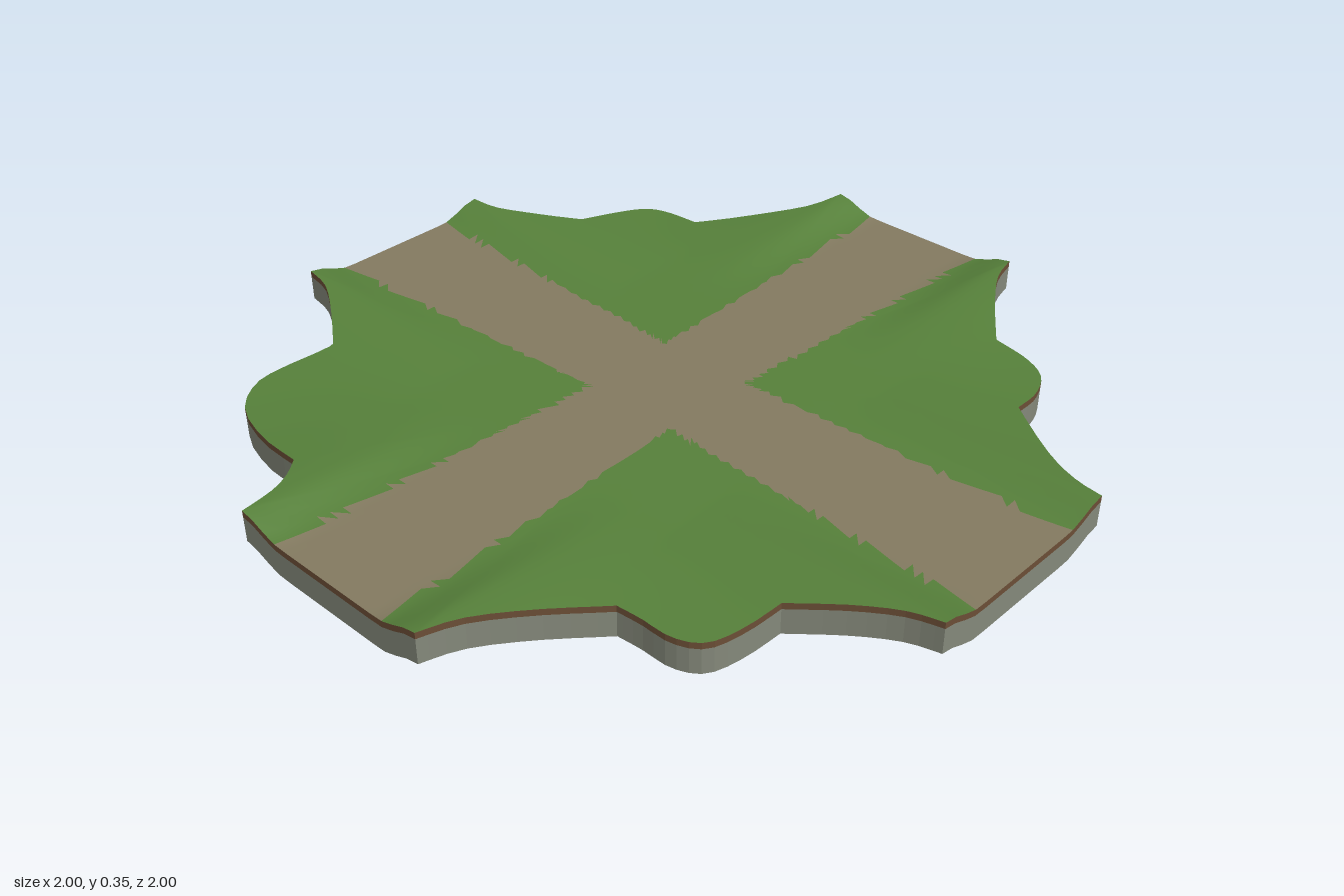
import * as THREE from 'three';

// Seeded noise in the range -1..1
function makeNoise(seed) {
  return () => {
    seed = (seed * 16807) % 2147483647;
    return (seed / 2147483647) * 2 - 1;
  };
}

// Each corner runs clockwise (seen from above) as three curves: flare, lobe, flare
const CORNERS = [
  [
    [[0.28, -1], [0.3, -0.92], [0.36, -0.82], [0.455, -0.69]],
    [[0.455, -0.69], [0.55, -0.675], [0.62, -0.635], [0.655, -0.56], [0.66, -0.48]],
    [[0.66, -0.48], [0.82, -0.355], [0.92, -0.3], [1, -0.28]],
  ],
  [
    [[1, 0.28], [0.92, 0.3], [0.82, 0.355], [0.715, 0.43]],
    [[0.715, 0.43], [0.705, 0.53], [0.68, 0.61], [0.62, 0.645], [0.54, 0.648], [0.48, 0.655]],
    [[0.48, 0.655], [0.39, 0.77], [0.31, 0.9], [0.28, 1]],
  ],
  [
    [[-0.28, 1], [-0.3, 0.91], [-0.33, 0.85], [-0.37, 0.803]],
    [[-0.37, 0.803], [-0.5, 0.79], [-0.63, 0.75], [-0.7, 0.68], [-0.72, 0.6], [-0.705, 0.46], [-0.71, 0.435]],
    [[-0.71, 0.435], [-0.82, 0.355], [-0.92, 0.295], [-1, 0.28]],
  ],
  [
    [[-1, -0.28], [-0.92, -0.295], [-0.82, -0.36], [-0.73, -0.43]],
    [[-0.73, -0.43], [-0.7, -0.53], [-0.66, -0.605], [-0.6, -0.635], [-0.5, -0.64]],
    [[-0.5, -0.64], [-0.4, -0.765], [-0.31, -0.89], [-0.28, -1]],
  ],
];

// Closed outline: curved corners joined by straight road ends
function makeOutline() {
  const points = [];
  CORNERS.forEach((corner, c) => {
    corner.forEach((pts, k) => {
      const curve = new THREE.SplineCurve(pts.map(([x, z]) => new THREE.Vector2(x, z)));
      const n = k === 1 ? 14 : 9;
      for (let i = 0; i < n; i++) points.push(curve.getPoint(i / n));
    });
    const from = new THREE.Vector2(...corner[2].at(-1));
    const to = new THREE.Vector2(...CORNERS[(c + 1) % 4][0][0]);
    for (let i = 0; i < 16; i++) points.push(from.clone().lerp(to, i / 16));
  });
  return points;
}

// Ground height: nearly level, with banks beside each road rising to its ends
function height(x, z) {
  const bank = (along, across) => {
    const rise = Math.max(0, (Math.abs(along) - 0.4) / 0.6);
    const a = Math.abs(across);
    const side = THREE.MathUtils.smoothstep(a, 0.16, 0.28);
    return rise * side * Math.exp(-Math.pow(Math.max(0, a - 0.28) / 0.2, 2));
  };
  return 0.321 + 0.034 * Math.min(1, bank(x, z) + bank(z, x));
}

// Whether a spot belongs to the crossing roads, which widen toward their ends
function onRoad(x, z) {
  const inside = (along, across) => Math.abs(across) < 0.125 + 0.045 * Math.abs(along);
  return inside(x, z) || inside(z, x);
}

// Flat-shaded band between successive closed rows, listed from top to bottom
function bandGeometry(rows, keep = () => true) {
  const position = [];
  for (let r = 0; r < rows.length - 1; r++) {
    const n = rows[r].length;
    for (let j = 0; j < n; j++) {
      if (!keep(r, j)) continue;
      const k = (j + 1) % n;
      const a = rows[r][j], b = rows[r][k], c = rows[r + 1][k], d = rows[r + 1][j];
      for (const p of [a, b, c, a, c, d]) position.push(p.x, p.y, p.z);
    }
  }
  const geometry = new THREE.BufferGeometry();
  geometry.setAttribute('position', new THREE.Float32BufferAttribute(position, 3));
  geometry.computeVertexNormals();
  return geometry;
}

// Ground surface as rings growing from the centre, split into grass and road
function groundGeometries(outline, rings) {
  const n = outline.length;
  const position = [], grass = [], road = [];
  for (let i = 0; i <= rings; i++) {
    for (const p of outline) {
      const x = (p.x * i) / rings, z = (p.y * i) / rings;
      position.push(x, height(x, z), z);
    }
  }
  const add = (...tri) => {
    const mean = (o) => tri.reduce((s, v) => s + position[v * 3 + o], 0) / 3;
    (onRoad(mean(0), mean(2)) ? road : grass).push(...tri);
  };
  for (let i = 0; i < rings; i++) {
    for (let j = 0; j < n; j++) {
      const k = (j + 1) % n;
      const a = i * n + j, b = i * n + k, c = b + n, d = a + n;
      add(a, c, d);
      if (i > 0) add(a, b, c);
    }
  }
  const whole = new THREE.BufferGeometry();
  whole.setAttribute('position', new THREE.Float32BufferAttribute(position, 3));
  whole.setIndex([...grass, ...road]);
  whole.computeVertexNormals();
  return [grass, road].map((index) => whole.clone().setIndex(index));
}

export function createModel() {
  const group = new THREE.Group();
  const add = (name, geometry, color, flatShading = true) => {
    const mesh = new THREE.Mesh(geometry, new THREE.MeshStandardMaterial({ color, flatShading }));
    mesh.name = name;
    group.add(mesh);
  };
  const noise = makeNoise(77);
  const outline = makeOutline();

  // Ground
  const [grass, road] = groundGeometries(outline, 34);
  add('grass', grass, 0x56803a, false);
  add('crossroads', road, 0x837a60, false);

  // Rim: thin soil layer over a rock wall
  const rimRow = (drop) => outline.map((p) => new THREE.Vector3(p.x, height(p.x, p.y) - drop, p.y));
  const top = rimRow(0), soil = rimRow(0.016), rim = rimRow(0.08);
  add('soilEdge', bandGeometry([top, soil]), 0x6b4e36);
  add('rockWall', bandGeometry([soil, rim]), 0x84887a);

  // Underside: uneven cone of rock narrowing to an off-centre tip
  const tip = new THREE.Vector3(0.14, 0, 0.05);
  const coneRow = (f, level, rough) => rim.map((p) => {
    const q = tip.clone().lerp(p, f + noise() * rough * 2);
    q.y = p.y * level + noise() * rough;
    return q;
  });
  const cone = [rim, coneRow(0.65, 0.73, 0.007), coneRow(0.31, 0.45, 0.006), rim.map(() => tip)];
  const brown = cone.map(() => rim.map(() => noise() > 0.65));
  add('rockUnderside', bandGeometry(cone, (r, j) => !brown[r][j]), 0x6c7064);
  add('earthVeins', bandGeometry(cone, (r, j) => brown[r][j]), 0x6e6250);

  return group;
}
